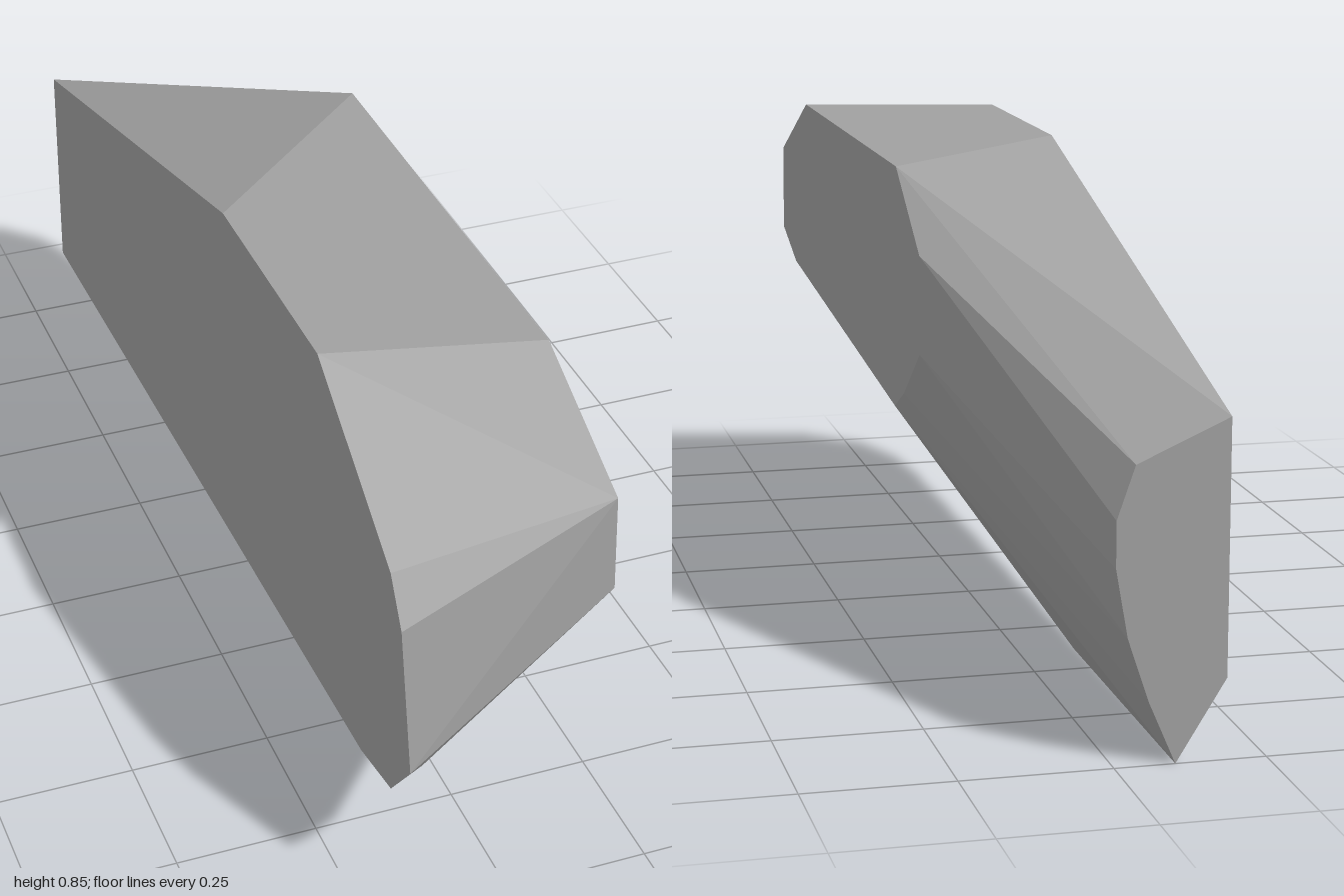
import * as THREE from 'three';
import { ConvexGeometry } from 'three/addons/geometries/ConvexGeometry.js';

const HALF = 0.183;

// Flat side facets, as [z, y] outlines
const rightSide = [
  [0.94, 0.72], [0.66, 0.845], [-0.23, 0.845], [-0.42, 0.72], [-0.42, 0.55],
  [-0.29, 0.455], [-0.21, 0.415], [0.80, 0.50], [0.95, 0.55],
];
const leftSide = [
  [-1, 0.555], [0.10, 0.845], [0.57, 0.845], [0.90, 0.64], [0.95, 0.56],
  [1, 0.31], [0.92, 0.212], [0.785, 0.185], [-1, 0.135],
];
// Flat rear facet, as [x, y]
const rear = [
  [-0.03, 0.487], [0, 0.4], [0, 0.323], [-0.02, 0.21], [-0.055, 0.105], [-0.1, 0],
];
// Keel and the small chipped nose, as [x, y, z]
const keel = [[-0.1, 0, -0.39], [-0.09, 0.2, 0.83], [-0.12, 0.226, 0.9]];

export function createModel() {
  const group = new THREE.Group();
  group.name = 'rock';
  const stone = new THREE.MeshStandardMaterial({ color: 0xa0a0a0 });
  stone.name = 'grey stone';

  // The faceted boulder is the hull of its facet corners
  const points = [
    ...rightSide.map(([z, y]) => new THREE.Vector3(HALF, y, z)),
    ...leftSide.map(([z, y]) => new THREE.Vector3(-HALF, y, z)),
    ...rear.map(([x, y]) => new THREE.Vector3(x, y, -1)),
    ...keel.map((p) => new THREE.Vector3(...p)),
  ];
  const boulder = new THREE.Mesh(new ConvexGeometry(points), stone);
  boulder.name = 'boulder';
  group.add(boulder);
  return group;
}
